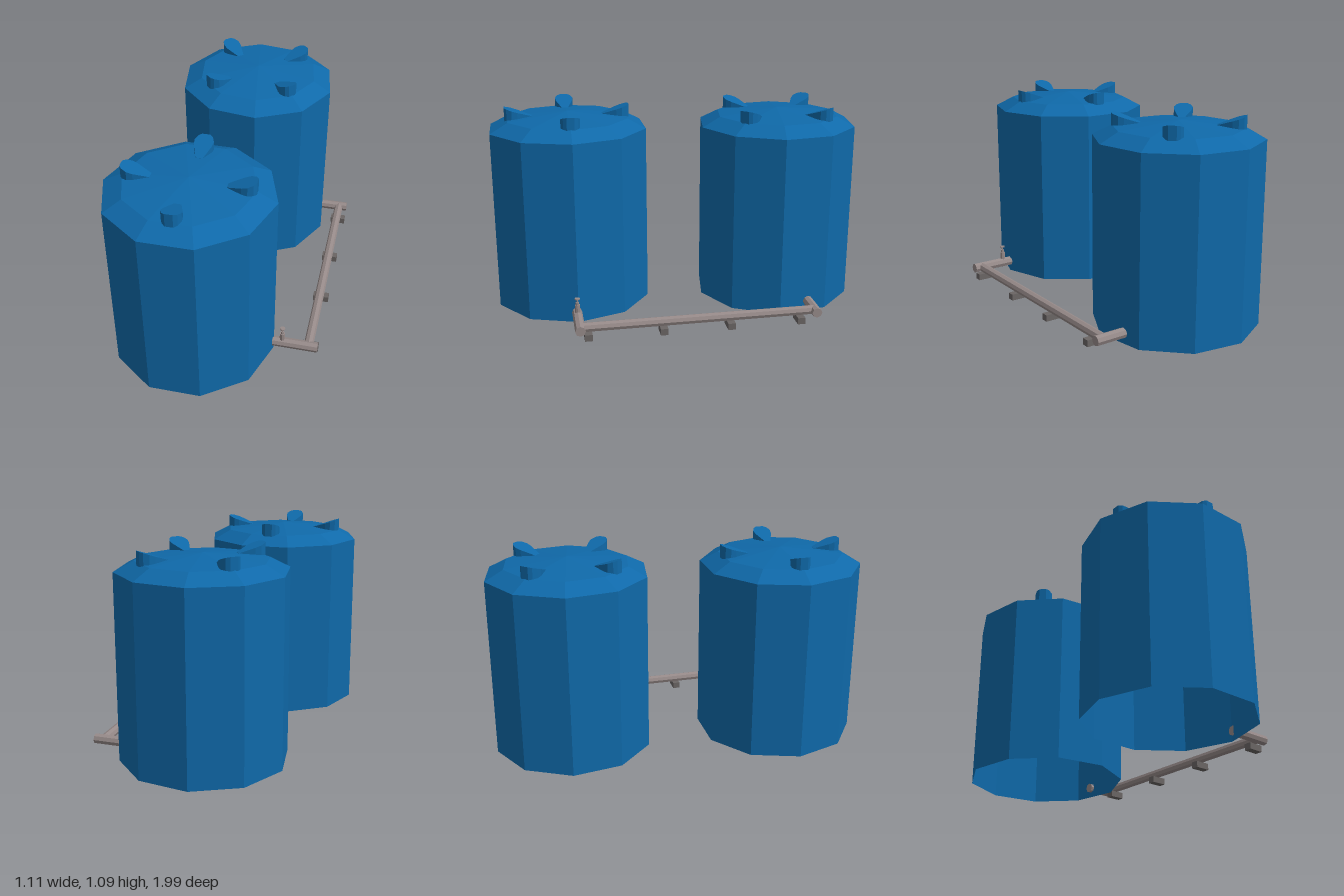
import * as THREE from 'three';

const tankBlue = new THREE.MeshStandardMaterial({ name: 'tankBlue', color: 0x0f69a9, flatShading: true, side: THREE.DoubleSide });
const pipeGrey = new THREE.MeshStandardMaterial({ name: 'pipeGrey', color: 0x968a89, flatShading: true });
const supportGrey = new THREE.MeshStandardMaterial({ name: 'supportGrey', color: 0x6a6564, flatShading: true });

function add(parent, name, geometry, material, x = 0, y = 0, z = 0) {
  const mesh = new THREE.Mesh(geometry, material);
  mesh.name = name;
  mesh.position.set(x, y, z);
  parent.add(mesh);
  return mesh;
}

// Teardrop lug: rounded outer end, top sloping down to the roof towards the centre
function lugGeometry() {
  const half = [[0.335, 0.02], [0.322, 0.038], [0.295, 0.05], [0.265, 0.046], [0.19, 0.018]];
  const outline = [...half, ...half.map(([r, w]) => [r, -w]).reverse()];
  const shape = new THREE.Shape(outline.map(([r, w]) => new THREE.Vector2(r, w)));
  const g = new THREE.ExtrudeGeometry(shape, { depth: 1, bevelEnabled: false });
  g.rotateX(-Math.PI / 2);
  const p = g.attributes.position;
  for (let i = 0; i < p.count; i++) {
    const r = p.getX(i);
    p.setY(i, p.getY(i) > 0.5 ? 1.036 + (r - 0.19) * 0.338 : 1.014);
  }
  g.computeVertexNormals();
  return g;
}

// Ten-sided tank, open underneath, with a shallow two-pitch roof
function makeTank(name, x, z, turn) {
  const tank = new THREE.Group();
  tank.name = name;
  tank.position.set(x, 0, z);
  tank.rotation.y = turn;
  const profile = (pts) => new THREE.LatheGeometry(pts.map(([r, y]) => new THREE.Vector2(r, y)), 10, Math.PI / 2);
  add(tank, 'tankWall', profile([[0.435, 0], [0.435, 0.97]]), tankBlue);
  add(tank, 'tankRoof', profile([[0.435, 0.97], [0.335, 1.022], [0, 1.055]]), tankBlue);
  const lug = lugGeometry();
  for (let i = 0; i < 4; i++) {
    add(tank, 'roofLug', lug, tankBlue).rotation.y = i * Math.PI / 2;
  }
  return tank;
}

// Straight pipe between two points
function pipe(parent, name, a, b, radius, sides = 8) {
  const from = new THREE.Vector3(...a), to = new THREE.Vector3(...b);
  const dir = to.clone().sub(from);
  const mesh = add(parent, name, new THREE.CylinderGeometry(radius, radius, dir.length(), sides), pipeGrey);
  mesh.position.copy(from).add(to).multiplyScalar(0.5);
  mesh.quaternion.setFromUnitVectors(new THREE.Vector3(0, 1, 0), dir.normalize());
  return mesh;
}

export function createModel() {
  const model = new THREE.Group();
  model.name = 'linkedTanks';
  model.add(makeTank('frontTank', -0.12, 0.58, 0));
  model.add(makeTank('rearTank', -0.02, -0.57, -Math.PI / 4));

  // Pipework joining the tanks
  const y = 0.057, front = 0.588, rear = -0.663;
  pipe(model, 'frontPipe', [0.31, y, front], [0.55, y, front], 0.027);
  pipe(model, 'rearPipe', [0.37, y, rear], [0.55, y, rear], 0.027);
  pipe(model, 'linkPipe', [0.502, y, rear], [0.502, y, front], 0.025);

  // Valve on the front pipe
  pipe(model, 'valveBody', [0.361, 0.075, front], [0.361, 0.122, front], 0.014);
  pipe(model, 'valveCollar', [0.361, 0.122, front], [0.361, 0.136, front], 0.009);
  pipe(model, 'valveStem', [0.361, 0.13, front], [0.361, 0.155, front], 0.004, 6);
  pipe(model, 'valveHandle', [0.361, 0.152, front], [0.361, 0.158, front], 0.014);

  // Support blocks under the link pipe
  for (const z of [0.547, 0.157, -0.2, -0.578]) {
    add(model, 'pipeSupport', new THREE.BoxGeometry(0.086, 0.035, 0.04), supportGrey, 0.508, 0.0175, z);
  }
  return model;
}
